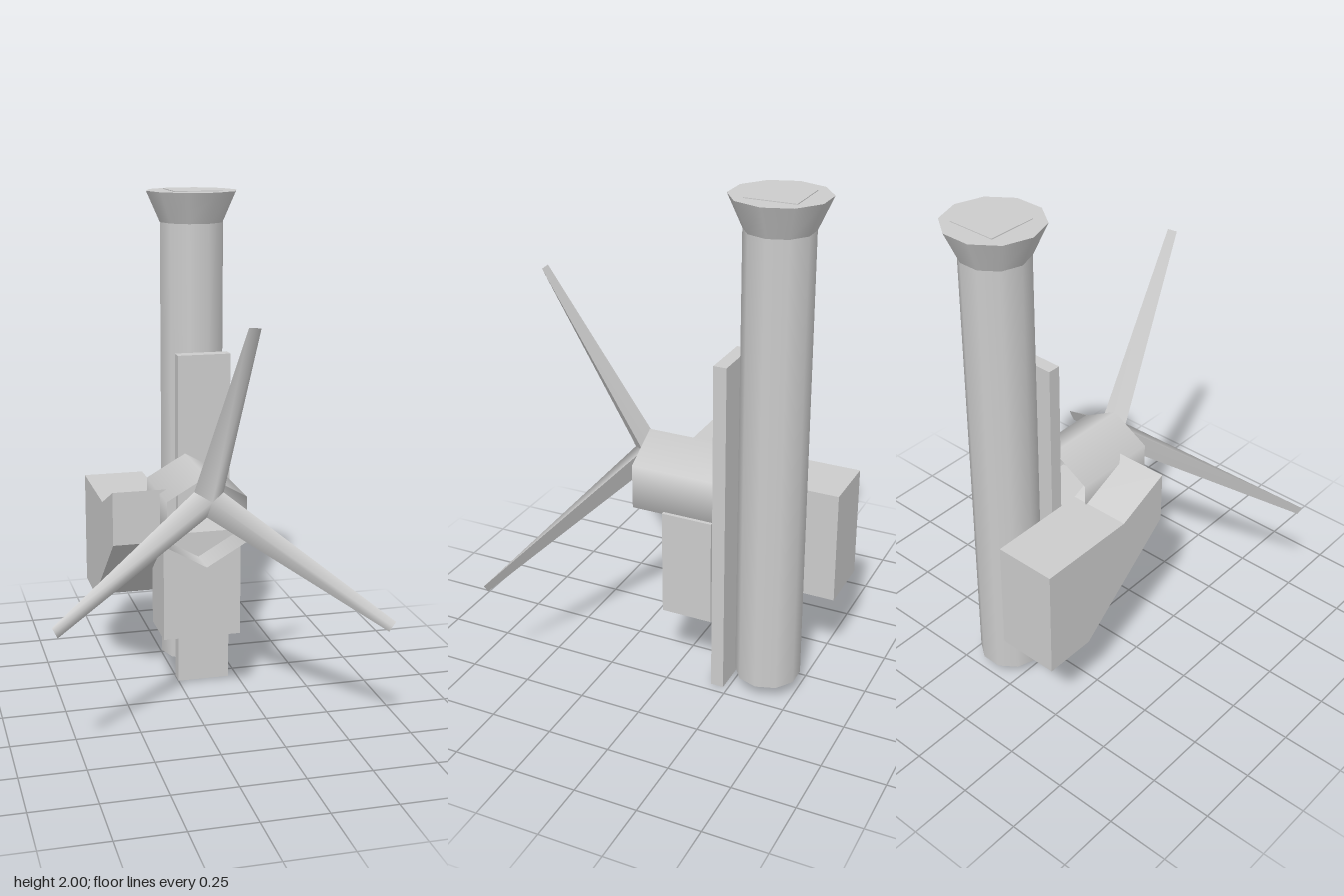
import * as THREE from 'three';

const grey = new THREE.MeshStandardMaterial({ color: 0xcccccc });
grey.name = 'plain grey';
grey.side = THREE.DoubleSide;

function add(group, name, geometry, x = 0, y = 0, z = 0) {
  const mesh = new THREE.Mesh(geometry, grey);
  mesh.name = name;
  mesh.position.set(x, y, z);
  group.add(mesh);
  return mesh;
}

// Box given by its lower and upper limits
function addBox(group, name, [x0, x1], [y0, y1], [z0, z1]) {
  return add(group, name, new THREE.BoxGeometry(x1 - x0, y1 - y0, z1 - z0),
    (x0 + x1) / 2, (y0 + y1) / 2, (z0 + z1) / 2);
}

// Three tapered blades swept forward from a small triangular hub
function propellerGeometry() {
  const notchR = 0.066, tipR = 0.718, tipHalf = 0.022, depth = 0.405, ridge = 0.06;
  const front = [], frontIndex = [], back = [], backIndex = [];
  const put = (list, x, y, z) => list.push([x, y, z]) - 1;
  const centre = put(front, 0, 0.01, ridge);
  for (let k = 0; k < 3; k++) {
    const a = THREE.MathUtils.degToRad(85.6 + 120 * k);
    const notch = s => [notchR * Math.cos(a + s * Math.PI / 3), notchR * Math.sin(a + s * Math.PI / 3), 0];
    const tip = s => [
      tipR * Math.cos(a) - s * tipHalf * Math.sin(a),
      tipR * Math.sin(a) + s * tipHalf * Math.cos(a), depth];
    const [A, B, tr, tm, tl] = [notch(-1), notch(1), tip(-1), tip(0), tip(1)]
      .map(p => put(front, ...p));
    frontIndex.push(centre, A, tr, centre, tr, tm, centre, tm, tl, centre, tl, B);
    const [a2, b2, l2, r2] = [notch(-1), notch(1), tip(1), tip(-1)].map(p => put(back, ...p));
    backIndex.push(a2, b2, l2, a2, l2, r2);
  }
  backIndex.push(8, 4, 0); // back of the hub
  const g = new THREE.BufferGeometry();
  g.setAttribute('position', new THREE.Float32BufferAttribute([...front, ...back].flat(), 3));
  g.setIndex([...frontIndex, ...backIndex.map(i => i + front.length)]);
  g.computeVertexNormals();
  return g;
}

export function createModel() {
  const model = new THREE.Group();
  model.name = 'propellerTower';

  // Ten-sided column with a flared top
  const px = 0.104, pz = -0.375;
  add(model, 'column', new THREE.CylinderGeometry(0.129, 0.129, 1.81, 10, 1, false, Math.PI / 2), px, 0.965, pz);
  add(model, 'flaredCap', new THREE.CylinderGeometry(0.184, 0.129, 0.122, 10, 1, false, Math.PI / 2), px, 1.931, pz);
  addBox(model, 'capPlate', [0.012, 0.206], [1.99, 1.995], [-0.475, -0.28]);

  // Upright board and the block in front of it
  addBox(model, 'board', [0, 0.213], [0, 1.37], [-0.23, -0.178]);
  addBox(model, 'frontBlock', [-0.11, 0.2], [0.28, 0.715], [-0.167, 0.04]);

  // Side block with a sloping underside and a rising nose
  const profile = [[-0.58, 0.34], [-0.37, 0.34], [0.053, 0.69], [0.053, 0.9], [-0.17, 0.8], [-0.58, 0.8]];
  const shape = new THREE.Shape(profile.map(([z, y]) => new THREE.Vector2(-z, y)));
  const side = new THREE.ExtrudeGeometry(shape, { depth: 0.247, bevelEnabled: false });
  side.rotateY(Math.PI / 2);
  add(model, 'sideBlock', side, -0.31, 0, 0);

  // Open six-sided tube with a corner at the top
  const tube = new THREE.CylinderGeometry(0.18, 0.18, 0.354, 6, 1, true);
  tube.rotateX(Math.PI / 2);
  add(model, 'tube', tube, 0.029, 0.795, -0.004);

  add(model, 'propeller', propellerGeometry(), 0.033, 0.88, 0.173);
  return model;
}
